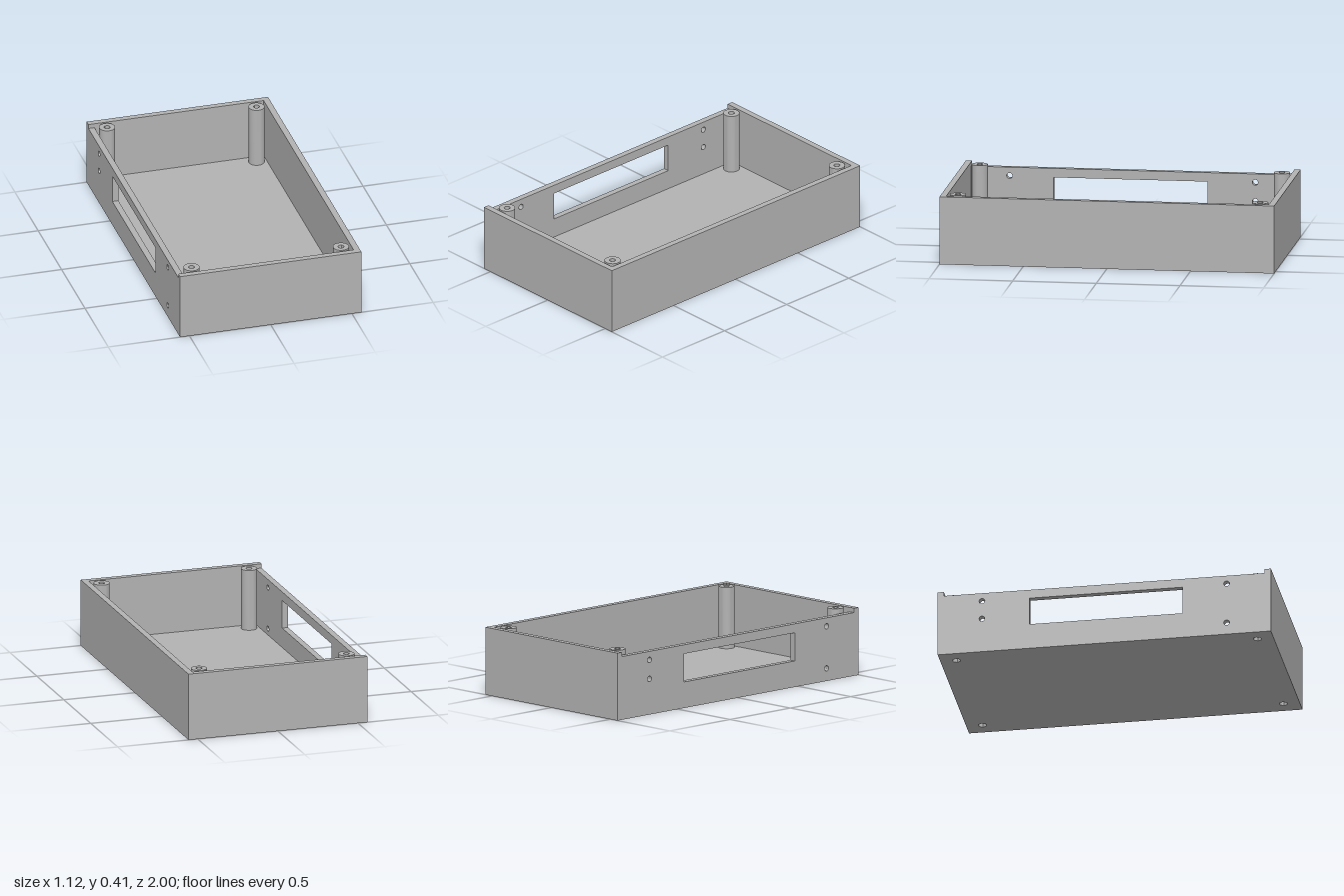
import * as THREE from 'three';
import { toCreasedNormals } from 'three/addons/utils/BufferGeometryUtils.js';

const HX = 0.558, HZ = 1, H = 0.407, T = 0.037; // half width, half length, height, wall thickness
const STEP = 0.026;                             // the window wall is lower than the rim
const POST_X = 0.46, POST_Z = 0.903;
const IX = HX - T, IZ = HZ - T;

const polygon = (points, Type = THREE.Shape) =>
  new Type(points.map(([x, y]) => new THREE.Vector2(x, y)));

const rect = (x0, y0, x1, y1, Type) =>
  polygon([[x0, y0], [x1, y0], [x1, y1], [x0, y1]], Type);

function circle(x, y, r, Type = THREE.Path) {
  const c = new Type();
  c.absarc(x, y, r, 0, Math.PI * 2, false);
  return c;
}

function hexagon(x, y, r) {
  const points = [];
  for (let i = 0; i < 6; i++) {
    const a = i * Math.PI / 3;
    points.push([x + r * Math.cos(a), y + r * Math.sin(a)]);
  }
  return polygon(points, THREE.Path);
}

function extrude(shape, depth) {
  const g = new THREE.ExtrudeGeometry(shape, { depth, bevelEnabled: false, curveSegments: 16 });
  return toCreasedNormals(g, 0.6);
}

// Extrude a plan drawn in x and -z straight up
const extrudeUp = (shape, height) => extrude(shape, height).rotateX(-Math.PI / 2);

export function createModel() {
  const group = new THREE.Group();
  const grey = new THREE.MeshStandardMaterial({ color: 0xb2b2b2 });
  grey.name = 'plain grey';

  function add(name, geometry, x = 0, y = 0, z = 0) {
    const mesh = new THREE.Mesh(geometry, grey);
    mesh.name = name;
    mesh.position.set(x, y, z);
    group.add(mesh);
  }

  const corners = [[1, 1], [1, -1], [-1, 1], [-1, -1]];

  // Floor with nut pockets under the posts
  const floor = rect(-HX, -HZ, HX, HZ);
  for (const [sx, sz] of corners) floor.holes.push(hexagon(sx * POST_X, sz * POST_Z, 0.026));
  add('floor', extrudeUp(floor, T));

  // Three full-height walls in one piece, open towards the window wall
  const walls = polygon([
    [-HX, -HZ], [HX, -HZ], [HX, HZ], [-HX, HZ],
    [-HX, IZ], [IX, IZ], [IX, -IZ], [-HX, -IZ],
  ]);
  add('outerWalls', extrudeUp(walls, H - T), 0, T, 0);

  // Lower wall with the display window and its screw holes, drawn in z and y
  const wall = rect(-IZ, T, IZ, H - STEP);
  wall.holes.push(rect(-0.45, 0.157, 0.47, 0.327, THREE.Path));
  const screwHoles = [[-0.734, 0.33], [-0.734, 0.215], [0.734, 0.33], [0.734, 0.076]];
  for (const [z, y] of screwHoles) wall.holes.push(circle(z, y, 0.017));
  add('windowWall', extrude(wall, T).rotateY(-Math.PI / 2), -IX, 0, 0);

  // Hollow screw posts
  const ring = circle(0, 0, 0.048, THREE.Shape);
  ring.holes.push(circle(0, 0, 0.018));
  const postGeometry = extrudeUp(ring, H - T);
  for (const [sx, sz] of corners) {
    add('screwPost', postGeometry, sx * POST_X, T, sz * POST_Z);
  }

  return group;
}
